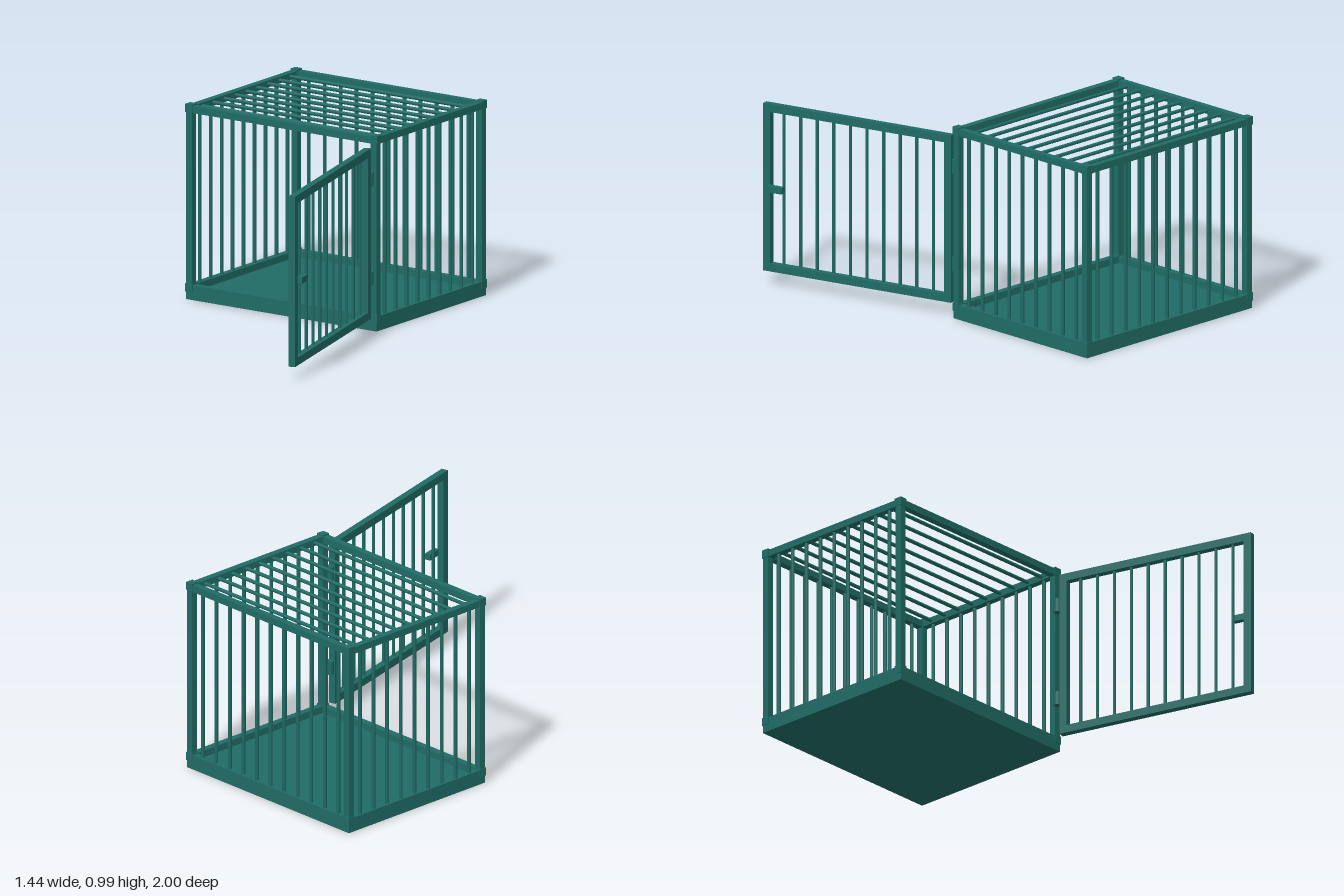
import * as THREE from 'three';

export function createModel() {
  const model = new THREE.Group();
  model.name = 'cage';
  const paint = new THREE.MeshStandardMaterial({ color: 0x206c65 });
  paint.name = 'green painted metal';

  const box = (parent, name, size, pos) => {
    const mesh = new THREE.Mesh(new THREE.BoxGeometry(...size), paint);
    mesh.name = name;
    mesh.position.set(...pos);
    parent.add(mesh);
    return mesh;
  };
  const rod = (parent, name, radius, length, pos, sides = 8) => {
    const mesh = new THREE.Mesh(new THREE.CylinderGeometry(radius, radius, length, sides), paint);
    mesh.name = name;
    mesh.position.set(...pos);
    parent.add(mesh);
    return mesh;
  };
  // evenly spaced offsets about zero
  const spread = (count, step) => Array.from({ length: count }, (_, i) => (i - (count - 1) / 2) * step);

  const BEAM = 0.035, CAP = 0.042, BAR = 0.0095;
  const HX = 0.56, HZ = 0.446; // half distances between post centres

  // Cage body, open at the front
  const body = new THREE.Group();
  body.name = 'cageBody';
  body.position.set(-0.139, 0, -0.533);
  model.add(body);

  box(body, 'floor', [2 * HX + BEAM, 0.04, 2 * HZ + BEAM], [0, 0.02, 0]);

  // Corner posts with blocks at both ends
  for (const sx of [-1, 1]) for (const sz of [-1, 1]) {
    box(body, 'cornerPost', [BEAM, 0.94, BEAM], [sx * HX, 0.51, sz * HZ]);
    box(body, 'topCornerBlock', [CAP, CAP, CAP], [sx * HX, 0.971, sz * HZ]);
    box(body, 'bottomCornerBlock', [CAP, CAP, CAP], [sx * HX, 0.06, sz * HZ]);
  }

  // Upper and lower rails
  for (const [name, y] of [['topRail', 0.967], ['bottomRail', 0.0575]]) {
    for (const s of [-1, 1]) {
      box(body, name, [2 * HX, BEAM, BEAM], [0, y, s * HZ]);
      box(body, name, [BEAM, BEAM, 2 * HZ], [s * HX, y, 0]);
    }
  }

  // Back, side and roof bars
  for (const x of spread(11, 0.0969)) rod(body, 'backBar', BAR, 0.9, [x, 0.515, -HZ]);
  for (const z of spread(9, 0.093)) {
    for (const s of [-1, 1]) rod(body, 'sideBar', BAR, 0.9, [s * HX, 0.515, z]);
    rod(body, 'roofBar', BAR, 2 * HX, [0, 0.967, z]).rotation.z = Math.PI / 2;
  }

  // Open door: local z runs along its width, local x is its outer side
  const door = new THREE.Group();
  door.name = 'door';
  door.position.set(0.5475, 0.502, 0.48);
  door.rotation.y = THREE.MathUtils.degToRad(15);
  model.add(door);

  const W = 1.067, H = 0.865, F = 0.04;
  for (const s of [-1, 1]) {
    box(door, 'doorStile', [BEAM, H, F], [0, 0, s * (W - F) / 2]);
    box(door, 'doorRail', [BEAM, F, W - 2 * F], [0, s * (H - F) / 2, 0]);
  }
  for (const z of spread(10, 0.0943)) rod(door, 'doorBar', 0.0085, 0.78, [0, 0.002, z]);
  box(door, 'latch', [0.03, 0.032, 0.085], [0.027, 0, 0.458]);

  // Hinges
  for (const y of [0.27, 0.775]) rod(model, 'hinge', 0.02, 0.07, [0.406, y, -0.054], 12);

  return model;
}
